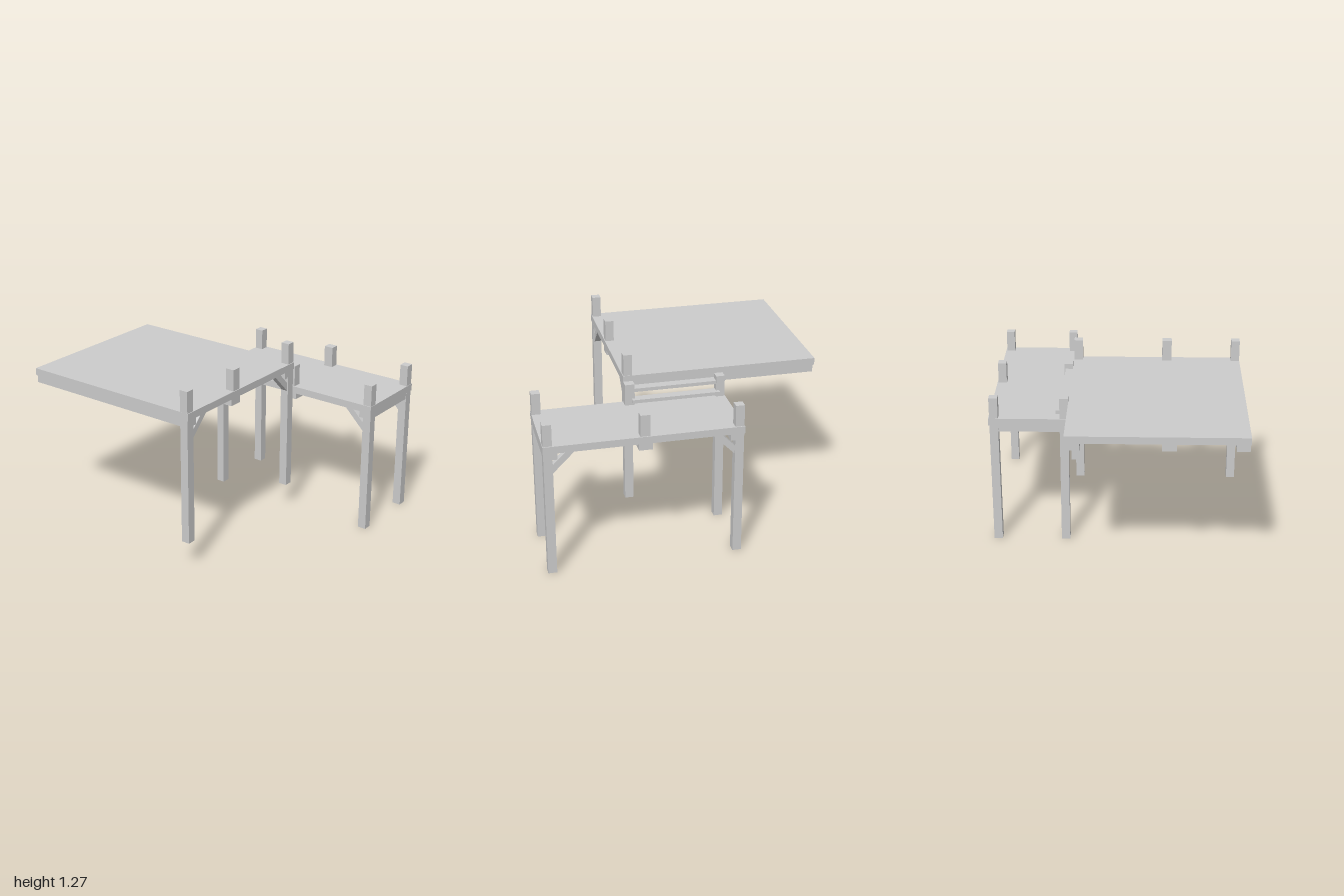
import * as THREE from 'three';

const material = new THREE.MeshStandardMaterial({ color: 0xcccccc, flatShading: true });

export function createModel() {
  const model = new THREE.Group();
  model.name = 'twoLevelDeck';

  const add = (name, geometry) => {
    const mesh = new THREE.Mesh(geometry, material);
    mesh.name = name;
    model.add(mesh);
    return mesh;
  };

  // Box given by its extents along each axis
  const box = (name, [x0, x1], [y0, y1], [z0, z1]) =>
    add(name, new THREE.BoxGeometry(x1 - x0, y1 - y0, z1 - z0))
      .position.set((x0 + x1) / 2, (y0 + y1) / 2, (z0 + z1) / 2);

  // Square timber centred on x, z
  const post = (name, x, z, y0, y1, w = 0.06, d = w) =>
    box(name, [x - w / 2, x + w / 2], [y0, y1], [z - d / 2, z + d / 2]);

  // 45 degree brace: starts at a post face, rises under the deck along its local +x
  const brace = (name, x, top, z, turn) => {
    const reach = 0.15, inner = 0.09, depth = 0.045;
    const shape = new THREE.Shape([
      new THREE.Vector2(0, -reach), new THREE.Vector2(reach, 0),
      new THREE.Vector2(inner, 0), new THREE.Vector2(0, -inner),
    ]);
    const geometry = new THREE.ExtrudeGeometry(shape, { depth, bevelEnabled: false });
    geometry.translate(0, 0, -depth / 2);
    const mesh = add(name, geometry);
    mesh.position.set(x, top, z);
    mesh.rotation.y = turn;
  };

  // Upper platform with its three long beams
  box('upperDeck', [-1, 0.36], [1.075, 1.125], [-0.314, 0.876]);
  for (const [z0, z1] of [[-0.308, -0.215], [0.31, 0.405], [0.785, 0.872]])
    box('upperBeam', [-0.99, 0.352], [1.023, 1.075], [z0, z1]);

  // Upper posts, braces and the short middle post
  for (const [z, side] of [[0.845, 1], [-0.28, -1]]) {
    post('upperPost', 0.325, z, 0.187, 1.275);
    brace('upperBrace', 0.325, 1.075, z - side * 0.03, side * Math.PI / 2);
  }
  post('upperShortPost', 0.325, 0.355, 1.075, 1.275, 0.06, 0.067);

  // Lower platform with its three cross beams
  box('lowerDeck', [-0.338, 0.998], [0.89, 0.94], [-0.875, -0.318]);
  for (const [x0, x1] of [[-0.332, -0.243], [0.28, 0.372], [0.903, 0.992]])
    box('lowerBeam', [x0, x1], [0.842, 0.89], [-0.868, -0.327]);

  // Lower posts, braces and short middle posts
  for (const z of [-0.837, -0.354]) {
    for (const [x, side] of [[-0.304, -1], [0.965, 1]]) {
      post('lowerPost', x, z, 0, 1.09);
      brace('lowerBrace', x - side * 0.03, 0.89, z, side > 0 ? Math.PI : 0);
    }
    post('lowerShortPost', 0.328, z, 0.89, 1.09, 0.067, 0.06);
  }

  // Two step boards between the levels
  box('lowerStep', [-0.295, 0.315], [0.962, 0.986], [-0.412, -0.345]);
  box('upperStep', [-0.295, 0.315], [1.03, 1.054], [-0.376, -0.31]);

  return model;
}
